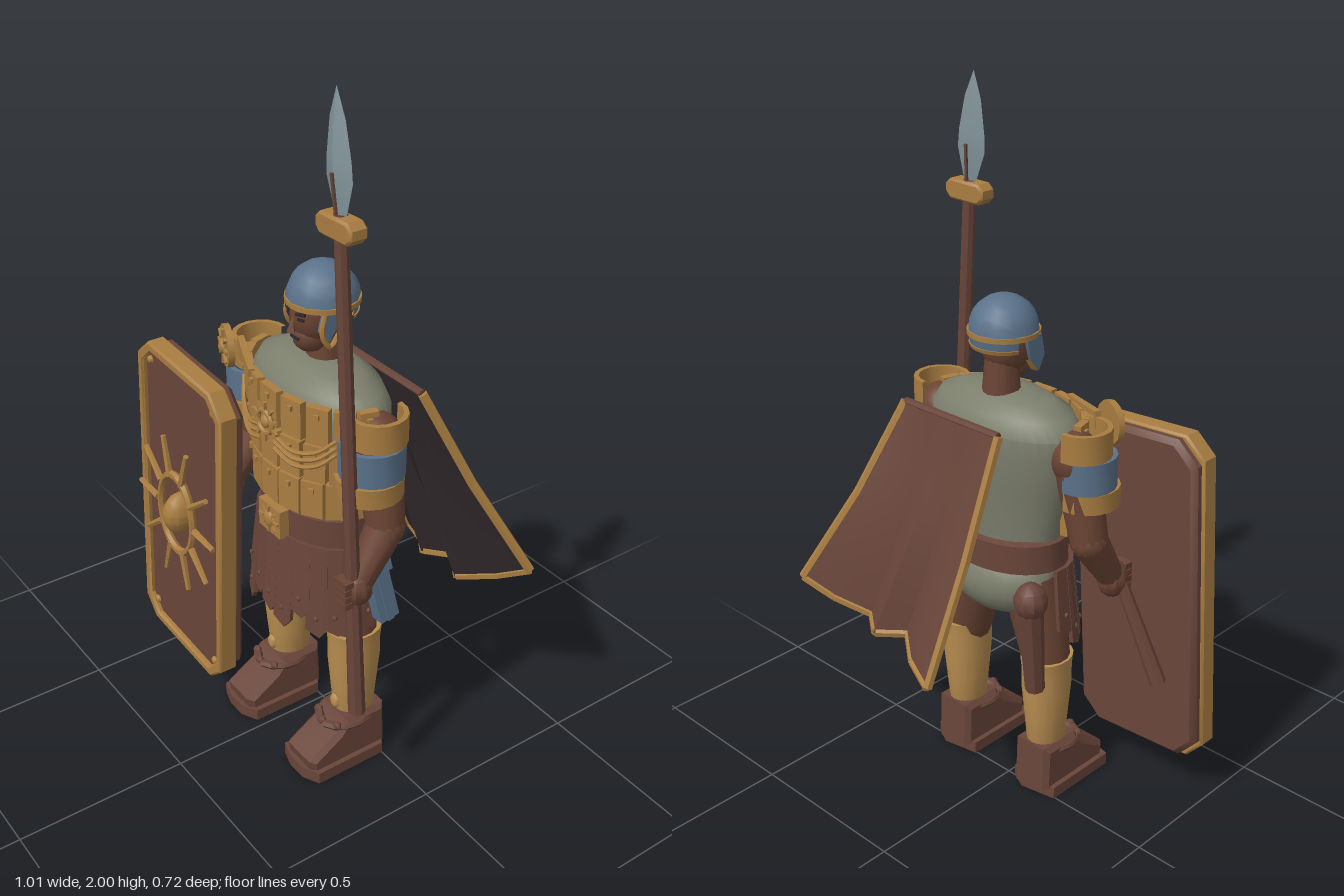
import * as THREE from 'three';
import { toCreasedNormals } from 'three/addons/utils/BufferGeometryUtils.js';

const mat = (name, color) => Object.assign(new THREE.MeshStandardMaterial({ color }), { name });
const V = (x, y, z) => new THREE.Vector3(x, y, z);
const CX = 0.055, CZ = 0.05; // body axis

export function createModel() {
  const skin = mat('skin', 0x6a4434), leather = mat('leather', 0x69453a), gold = mat('brass', 0xa97d41),
    greaveGold = mat('pale brass', 0xb88d50), cloth = mat('sage cloth', 0x7d7f6d), blue = mat('blue enamel', 0x5a728a),
    steel = mat('steel', 0x82949a), dark = mat('dark lining', 0x30282b);
  const root = new THREE.Group();
  root.name = 'soldier';

  const group = (name, parent = root) => {
    const g = new THREE.Group();
    g.name = name;
    parent.add(g);
    return g;
  };
  const add = (parent, name, geo, material, p = [0, 0, 0], r = [0, 0, 0], s = [1, 1, 1]) => {
    const m = new THREE.Mesh(toCreasedNormals(geo, 0.6), material);
    m.name = name;
    m.position.set(...p);
    m.rotation.set(...r);
    m.scale.set(...s);
    parent.add(m);
    return m;
  };
  const box = (w, h, d) => new THREE.BoxGeometry(w, h, d);
  const ball = (n = 12) => new THREE.SphereGeometry(1, n, Math.ceil(n * 0.7));
  const lathe = (pts, n = 32, start = 0, len = Math.PI * 2) =>
    new THREE.LatheGeometry(pts.map(p => new THREE.Vector2(...p)), n, start, len);
  const tube = (pts, r, n = 12, sides = 6) =>
    new THREE.TubeGeometry(new THREE.CatmullRomCurve3(pts), n, r, sides);
  const limb = (parent, name, a, b, ra, rb, material, sides = 14) => {
    const d = b.clone().sub(a);
    const m = add(parent, name, new THREE.CylinderGeometry(rb, ra, d.length(), sides), material,
      a.clone().add(b).multiplyScalar(0.5).toArray());
    m.quaternion.setFromUnitVectors(V(0, 1, 0), d.normalize());
  };
  const extrude = (pts, depth, bevel, hole) => {
    const s = new THREE.Shape(pts.map(p => new THREE.Vector2(...p)));
    if (hole) s.holes.push(new THREE.Path(hole.map(p => new THREE.Vector2(...p))));
    return new THREE.ExtrudeGeometry(s, { depth, bevelEnabled: bevel > 0, bevelSize: bevel, bevelThickness: bevel, bevelSegments: 1 });
  };
  // Point on an ellipse round the body, with its outward heading
  const around = (a, rx, rz) => ({
    x: CX + rx * Math.sin(a), z: CZ + rz * Math.cos(a),
    turn: Math.atan2(Math.sin(a) / rx, Math.cos(a) / rz),
  });

  // Torso, pelvis and belt
  add(root, 'tunic', lathe([[0.17, 0.72], [0.185, 0.82], [0.225, 0.97], [0.25, 1.08], [0.25, 1.13],
    [0.22, 1.175], [0.15, 1.205], [0.075, 1.215], [0, 1.216]], 36), cloth, [CX, 0, CZ - 0.002], [0, 0, 0], [1, 1, 0.54]);
  add(root, 'pelvis', ball(20), cloth, [CX, 0.67, 0.025], [0, 0, 0], [0.185, 0.12, 0.125]);
  add(root, 'belt', lathe([[0.17, 0.72], [0.196, 0.725], [0.196, 0.81], [0.17, 0.815]], 28), leather, [CX, 0, CZ], [0, 0, 0], [1, 1, 0.72]);
  add(root, 'buckle', box(0.1, 0.085, 0.03), gold, [CX, 0.768, 0.2]);
  add(root, 'buckleBoss', ball(8), gold, [CX, 0.768, 0.215], [0, 0, 0], [0.025, 0.025, 0.012]);
  for (let i = 0; i < 8; i++) {
    const a = i * Math.PI / 4;
    add(root, 'buckleRay', box(0.007, 0.02, 0.008), gold, [CX + 0.034 * Math.sin(a), 0.768 + 0.03 * Math.cos(a), 0.217], [0, 0, -a]);
  }

  // Chest plates in curved rows
  const chest = group('chestArmour');
  for (let row = 0; row < 3; row++) for (let i = -4; i <= 4; i++) {
    const q = around(i * 0.35, 0.248 - row * 0.02, 0.15), w = 0.074 - Math.abs(i) * 0.006;
    const y = [1.115, 1.0, 0.885][row];
    add(chest, 'plate', box(w, 0.105, 0.022), gold, [q.x, y, q.z], [0, q.turn, 0]);
    add(chest, 'plateRivet', box(0.014, 0.014, 0.01), gold, [q.x + Math.sin(q.turn) * 0.014, y + 0.03, q.z + Math.cos(q.turn) * 0.014], [0, q.turn, 0]);
  }
  add(chest, 'medallion', new THREE.TorusGeometry(0.032, 0.007, 6, 16), gold, [CX, 1.07, 0.222]);
  add(chest, 'medallionBoss', ball(10), gold, [CX, 1.07, 0.22], [0, 0, 0], [0.018, 0.018, 0.012]);
  for (let i = 0; i < 10; i++) {
    const a = i * Math.PI / 5;
    add(chest, 'medallionRay', box(0.008, 0.026, 0.008), gold, [CX + 0.044 * Math.sin(a), 1.07 + 0.044 * Math.cos(a), 0.222], [0, 0, -a]);
  }
  for (const s of [-1, 1]) for (let k = 0; k < 3; k++) {
    const pts = [0.12, 0.4, 0.7, 0.95].map((a, j) => {
      const q = around(s * a, 0.262, 0.168);
      return V(q.x, 1.045 - k * 0.02 + [0, -0.02, 0, 0.045][j], q.z);
    });
    add(chest, 'swag', tube(pts, 0.006), gold);
  }

  // Leather skirt strips, front and sides
  const skirt = group('skirt');
  for (let i = -6; i <= 6; i++) {
    const q = around(i * 0.26, 0.205, 0.145), len = 0.26 + 0.03 * Math.sin(i * 2.3) - (Math.abs(i) > 4 ? 0.03 : 0);
    const h = group('skirtStrip', skirt);
    h.position.set(q.x, 0.73, q.z);
    h.rotation.set(-0.1, q.turn, 0, 'YXZ');
    add(h, 'strip', extrude([[-0.026, 0], [-0.03, -len + 0.02], [0.012, -len], [0.034, -len + 0.03], [0.026, 0]], 0.012, 0), leather, [0, 0, -0.006]);
    add(h, 'stripRivet', ball(6), leather, [0, -len + 0.06, 0.008], [0, 0, 0], [0.008, 0.008, 0.006]);
  }

  // Head and face
  const head = group('head');
  add(head, 'neck', new THREE.CylinderGeometry(0.043, 0.055, 0.14, 14), skin, [CX, 1.25, 0.03]);
  add(head, 'skull', ball(18), skin, [CX, 1.345, 0.055], [0, 0, 0], [0.068, 0.095, 0.08]);
  add(head, 'jaw', ball(14), skin, [CX, 1.283, 0.077], [0, 0, 0], [0.046, 0.05, 0.052]);
  add(head, 'nose', new THREE.ConeGeometry(0.014, 0.05, 4), skin, [CX, 1.328, 0.135], [-0.15, 0, 0]);
  add(head, 'mouth', box(0.034, 0.007, 0.008), dark, [CX, 1.285, 0.126]);
  for (const s of [-1, 1]) {
    add(head, 'eye', box(0.02, 0.008, 0.006), dark, [CX + s * 0.027, 1.343, 0.126], [0, s * 0.35, 0]);
    add(head, 'brow', box(0.028, 0.008, 0.01), dark, [CX + s * 0.027, 1.358, 0.127], [0, s * 0.35, s * 0.1]);
  }

  // Helmet with brow band, neck guard and cheek guards
  const helmet = group('helmet');
  add(helmet, 'dome', new THREE.SphereGeometry(0.097, 12, 6, 0, Math.PI * 2, 0, Math.PI / 2), blue, [CX, 1.377, 0.04]);
  add(helmet, 'domeUnderside', new THREE.CircleGeometry(0.096, 12), blue, [CX, 1.377, 0.04], [Math.PI / 2, 0, 0]);
  add(helmet, 'browBand', lathe([[0.086, 1.368], [0.099, 1.368], [0.099, 1.382], [0.086, 1.382]], 24), gold, [CX, 0, 0.04]);
  const wrap = (name, y0, y1, material) => add(helmet, name, lathe([[0.08, y0], [0.09, y0], [0.094, y1], [0.08, y1], [0.08, y0]],
    12, Math.PI * 0.62, Math.PI * 0.76), material, [CX, 0, 0.04]);
  wrap('neckGuard', 1.345, 1.37, blue);
  wrap('neckGuardTrim', 1.334, 1.345, gold);
  for (const s of [-1, 1]) {
    add(helmet, 'cheekGuard', extrude([[-0.025, 0], [0.03, 0], [0.042, -0.06], [0.02, -0.1], [-0.01, -0.06]], 0.012, 0), blue,
      [CX + s * 0.076 - 0.006, 1.375, 0.055], [0, -Math.PI / 2, 0]);
    add(helmet, 'cheekTrim', tube([V(-0.012, 0, 0.032), V(-0.004, -0.06, 0.044), V(0, -0.1, 0.02), V(0, -0.06, -0.012)]
      .map(p => V(CX + s * (0.082 + p.x * 0.3), 1.375 + p.y, 0.055 + p.z)), 0.007), gold);
  }

  // Legs with greaves and boots
  for (const s of [-1, 1]) {
    const leg = group(s > 0 ? 'leftLeg' : 'rightLeg'), x = CX + s * 0.16;
    limb(leg, 'thigh', V(x, 0.4, 0.05), V(CX + s * 0.1, 0.68, 0.04), 0.068, 0.088, skin);
    add(leg, 'greave', lathe([[0.05, 0.14], [0.056, 0.16], [0.064, 0.25], [0.072, 0.34], [0.072, 0.4], [0.076, 0.44], [0.06, 0.44]], 18),
      greaveGold, [x, 0, 0.047], [0, 0, 0], [0.92, 1, 1.08]);
    add(leg, 'greaveKnob', ball(8), greaveGold, [x, 0.195, 0.11], [0, 0, 0], [0.018, 0.025, 0.012]);
    add(leg, 'sole', extrude([[-0.025, 0.09], [-0.005, -0.02], [0.23, -0.02], [0.245, 0.03], [0.245, 0.09], [0.22, 0.14], [0, 0.14]]
      .map(([z, w]) => [w - 0.06, z]), 0.036, 0), leather, [x, 0.036, 0], [Math.PI / 2, 0, 0]);
    add(leg, 'boot', extrude([[-0.01, 0.03], [0.215, 0.03], [0.22, 0.06], [0.13, 0.115], [0.105, 0.15], [-0.005, 0.15]], 0.1, 0.015),
      leather, [x + 0.05, 0, 0], [0, -Math.PI / 2, 0]);
    add(leg, 'ankleStrap', new THREE.TorusGeometry(0.068, 0.012, 6, 14), leather, [x, 0.14, 0.075], [Math.PI / 2, 0, 0], [0.95, 1.15, 1]);
    for (const k of [-1, 0, 1]) add(leg, 'strapStud', ball(6), leather, [x + k * 0.045, 0.145, 0.155 - Math.abs(k) * 0.02], [0, 0, 0], [0.015, 0.013, 0.013]);
  }

  // Arms with banded shoulder guards
  for (const s of [-1, 1]) {
    const arm = group(s > 0 ? 'leftArm' : 'rightArm'), at = (x, y, z) => V(CX + s * x, y, z);
    const sh = at(0.25, 1.08, 0.05), el = at(0.298, 0.85, 0.055), ha = at(0.305, 0.7, 0.15);
    add(arm, 'shoulder', ball(16), skin, sh.toArray(), [0, 0, 0], [0.07, 0.075, 0.07]);
    limb(arm, 'upperArm', el, sh, 0.052, 0.064, skin);
    add(arm, 'elbow', ball(14), skin, el.toArray(), [0, 0, 0], [0.053, 0.053, 0.053]);
    limb(arm, 'forearm', ha, el, 0.036, 0.053, skin);
    add(arm, 'hand', ball(10), skin, ha.toArray(), [0, 0, 0], [0.044, 0.055, 0.046]);
    for (let k = 0; k < 4; k++) add(arm, 'finger', box(0.05, 0.018, 0.026), skin, [ha.x, ha.y + 0.03 - k * 0.021, ha.z + 0.04]);
    [[1.09, 1.17, gold, 0.08], [1.0, 1.09, blue, 0.086], [0.945, 1.0, gold, 0.09]].forEach(([y0, y1, m, r]) => {
      add(arm, 'shoulderBand', lathe([[r - 0.014, y0], [r, y0], [r, y1], [r - 0.014, y1], [r - 0.014, y0]], 10,
        s > 0 ? -0.6 : -3.2, 3.8), m, [CX + s * 0.262, 0, 0.06 + (1.1 - y0) * 0.15]);
    });
  }
  // Round brooch and strap on the right shoulder
  const brooch = group('shoulderBrooch');
  brooch.position.set(-0.22, 1.155, 0.16);
  brooch.rotation.y = -0.35;
  add(brooch, 'disc', new THREE.CylinderGeometry(0.06, 0.06, 0.018, 12), gold, [0, 0, 0], [Math.PI / 2, 0, 0]);
  add(brooch, 'boss', ball(8), gold, [0, 0, 0.012], [0, 0, 0], [0.022, 0.022, 0.014]);
  for (let i = 0; i < 8; i++) {
    const a = i * Math.PI / 4;
    add(brooch, 'ray', box(0.01, 0.024, 0.01), gold, [0.038 * Math.sin(a), 0.038 * Math.cos(a), 0.012], [0, 0, -a]);
  }
  add(root, 'shoulderStrap', box(0.17, 0.05, 0.018), gold, [-0.12, 1.155, 0.165], [0, -0.4, -0.08]);

  // Spear
  const spear = group('spear');
  spear.position.set(0.346, 1, 0.165);
  spear.rotation.z = 0.064;
  add(spear, 'shaft', new THREE.CylinderGeometry(0.018, 0.021, 1.4, 8), leather, [0, 0.01, 0]);
  add(spear, 'grip', new THREE.CylinderGeometry(0.021, 0.024, 0.36, 8), leather, [0, -0.51, 0]);
  add(spear, 'collar', extrude([[-0.05, -0.022], [0.05, -0.022], [0.064, -0.008], [0.064, 0.01], [0.05, 0.022], [-0.05, 0.022], [-0.064, 0.01], [-0.064, -0.008]], 0.04, 0.006),
    gold, [0, 0.68, -0.02], [0, 0, -0.04]);
  add(spear, 'blade', lathe([[0.02, 0.7], [0.05, 0.79], [0.047, 0.84], [0.03, 0.93], [0, 1.002]], 4), steel, [0, 0, 0], [0, 0, 0], [1, 1, 0.38]);
  for (const s of [-1, 1]) add(spear, 'bladeRidge', box(0.008, 0.11, 0.006), leather, [0, 0.755, s * 0.017], [s * 0.08, 0, 0]);

  // Shield with sun emblem
  const shield = group('shield');
  shield.position.set(-0.267, 0.635, 0);
  shield.rotation.z = -0.06;
  const oct = (w, h, c) => [[-w + c, -h], [w - c, -h], [w, -h + c], [w, h - c], [w - c, h], [-w + c, h], [-w, h - c], [-w, -h + c]];
  add(shield, 'board', extrude(oct(0.195, 0.47, 0.055), 0.04, 0.015), leather, [0, 0, 0.24]);
  add(shield, 'rim', extrude(oct(0.212, 0.487, 0.055), 0.045, 0.006, oct(0.196, 0.47, 0.05).reverse()), gold, [0, 0, 0.26]);
  add(shield, 'boss', ball(12), gold, [0.005, 0.015, 0.31], [0, 0, 0], [0.042, 0.066, 0.055]);
  add(shield, 'sunRing', new THREE.TorusGeometry(0.088, 0.009, 6, 24), gold, [0.005, 0.015, 0.322], [0, 0, 0], [1, 1.45, 1.3]);
  for (let i = 0; i < 10; i++) {
    const a = (i + 0.5) * Math.PI / 5, p = r => V(0.005 + r * Math.sin(a), 0.015 + r * 1.22 * Math.cos(a), 0.325);
    limb(shield, 'sunRay', p(0.1), p(0.2), 0.011, 0.008, gold, 6);
  }
  for (const sx of [-1, 1]) for (const sy of [-1, 1])
    add(shield, 'rivet', ball(8), gold, [sx * 0.165, sy * 0.43, 0.297], [0, 0, 0], [0.013, 0.013, 0.01]);

  // Club by the right hand, scabbard behind the hip, pouch on the left hip
  limb(root, 'club', V(-0.39, 0.4, 0.195), V(-0.27, 0.7, 0.16), 0.024, 0.018, leather, 8);
  add(root, 'scabbardKnob', ball(10), leather, [-0.14, 0.67, -0.06], [0, 0, 0], [0.048, 0.055, 0.048]);
  limb(root, 'scabbard', V(-0.13, 0.37, -0.03), V(-0.14, 0.64, -0.06), 0.028, 0.036, leather, 8);
  const pouch = group('hipSheath');
  pouch.position.set(0.3, 0.61, 0.03);
  pouch.rotation.set(0.2, 0, 0.08);
  add(pouch, 'sheath', box(0.045, 0.2, 0.06), blue);
  add(pouch, 'sheathCap', box(0.055, 0.05, 0.08), blue, [0, 0.08, 0]);
  add(pouch, 'sheathRib', box(0.055, 0.2, 0.02), blue);

  // Cape: folded sheet with lining and trim
  const cape = group('cape');
  const hem = [[-0.03, 0.48, -0.35], [0.07, 0.5, -0.31], [0.15, 0.53, -0.25], [0.22, 0.53, -0.31], [0.3, 0.53, -0.25], [0.4, 0.57, -0.305], [0.485, 0.62, -0.345]];
  const N = hem.length - 1, ROWS = 6;
  const capePoint = (i, v, off = 0) => {
    const [x, y, z] = hem[i], t = i / N;
    return V(THREE.MathUtils.lerp(-0.065 + t * 0.35, x, Math.pow(v, 1.2)),
      THREE.MathUtils.lerp(1.15, y, v), THREE.MathUtils.lerp(-0.11, z, Math.pow(v, 1.1)) + off);
  };
  const sheet = (off, flip) => {
    const pos = [], idx = [];
    for (let j = 0; j <= ROWS; j++) for (let i = 0; i <= N; i++) {
      pos.push(...capePoint(i, j / ROWS, off).toArray());
      if (i === N || j === ROWS) continue;
      const a = j * (N + 1) + i, b = a + 1, c = a + N + 1, d = c + 1;
      idx.push(...(flip ? [a, c, b, b, c, d] : [a, b, c, b, d, c]));
    }
    const g = new THREE.BufferGeometry();
    g.setAttribute('position', new THREE.Float32BufferAttribute(pos, 3));
    g.setIndex(idx);
    return g;
  };
  add(cape, 'capeOutside', sheet(-0.006, false), leather);
  add(cape, 'capeLining', sheet(0.012, true), dark);
  const trim = [[0, 0], [0, 0.5], [0, 1], ...hem.slice(1, N).map((_, i) => [i + 1, 1]), [N, 1], [N, 0.5], [N, 0]].map(([i, v]) => capePoint(i, v, 0.003));
  for (let k = 0; k + 1 < trim.length; k++) limb(cape, 'capeTrim', trim[k], trim[k + 1], 0.014, 0.014, gold, 6);
  limb(cape, 'capeTopTrim', capePoint(0, 0, 0.003), capePoint(N, 0, 0.003), 0.011, 0.011, leather, 6);
  return root;
}
